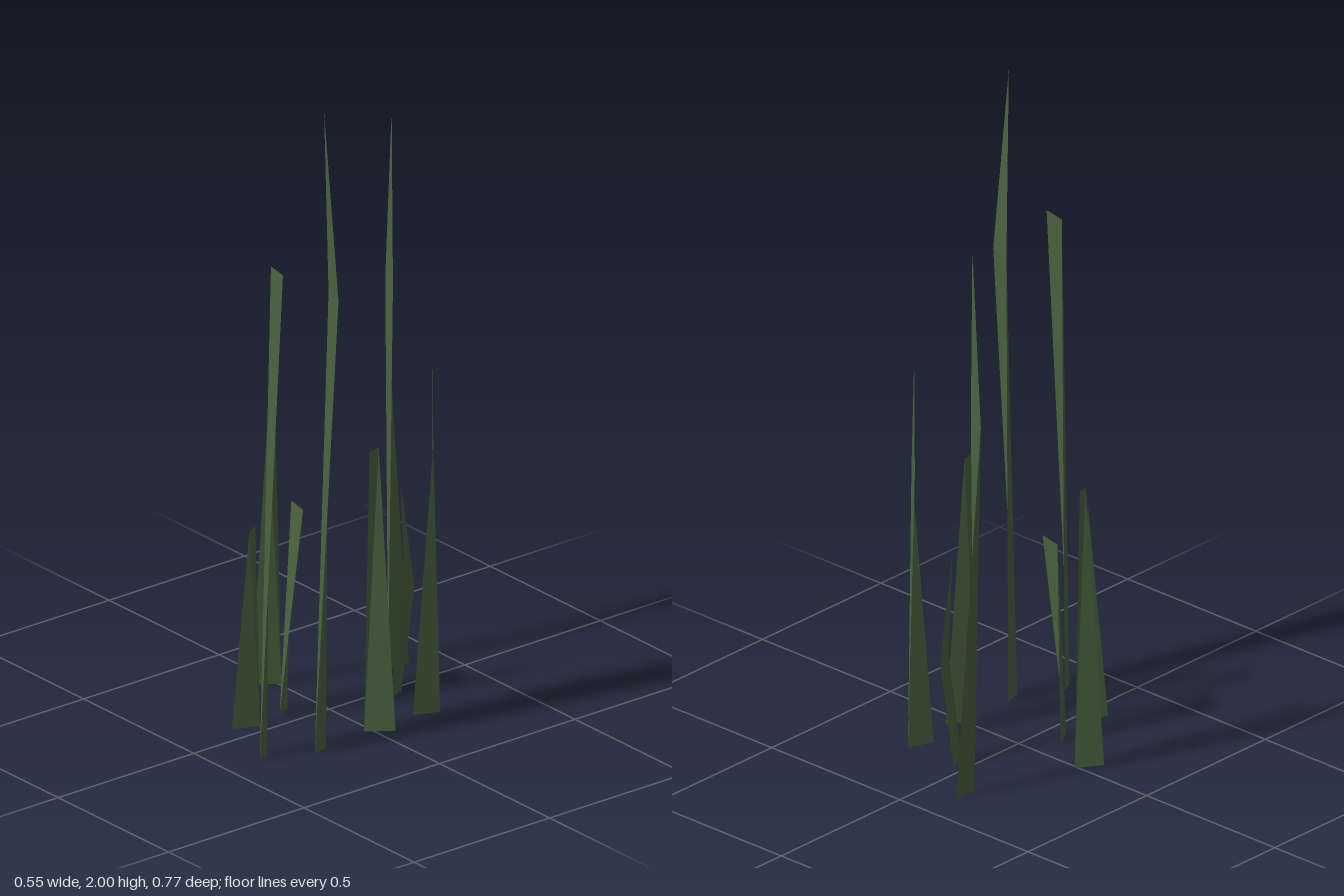
import * as THREE from 'three';

const grassGreen = new THREE.MeshStandardMaterial({ color: 0x4a6340, side: THREE.DoubleSide, flatShading: true });
grassGreen.name = 'grassGreen';

// One twisted blade: base edge b0-b1, upper edge m0-m1 at height y, optional tip [x, y, z]
function blade(name, { b0, b1, m0, m1, y, tip }) {
  const at = ([x, z], h) => [x, h, z];
  const B0 = at(b0, 0), B1 = at(b1, 0), M0 = at(m0, y), M1 = at(m1, y);
  const corners = [B0, B1, M0, B1, M1, M0];
  if (tip) corners.push(M0, M1, tip);
  const geometry = new THREE.BufferGeometry();
  geometry.setAttribute('position', new THREE.Float32BufferAttribute(corners.flat(), 3));
  geometry.computeVertexNormals();
  const mesh = new THREE.Mesh(geometry, grassGreen);
  mesh.name = name;
  return mesh;
}

// Blades that narrow to a point
const pointed = [
  { b0: [0.207, 0.18], b1: [0.223, 0.235], m0: [0.202, 0.167], m1: [0.273, 0.188], y: 1.42, tip: [0.226, 2, 0.203] },
  { b0: [-0.113, -0.385], b1: [-0.117, -0.312], m0: [-0.178, -0.351], m1: [-0.127, -0.338], y: 1.19, tip: [-0.133, 1.74, -0.338] },
  { b0: [0.184, -0.159], b1: [0.214, -0.235], m0: [0.253, -0.178], m1: [0.212, -0.208], y: 0.86, tip: [0.222, 1.22, -0.2] },
  { b0: [0.03, -0.241], b1: [0.05, -0.184], m0: [0.06, -0.265], m1: [0.072, -0.216], y: 0.33, tip: [0.055, 0.66, -0.22] },
];

// Blades with a flat cut top
const blunt = [
  { b0: [0.135, 0.34], b1: [0.155, 0.382], m0: [0.125, 0.317], m1: [0.198, 0.332], y: 1.515 },
  { b0: [0.239, -0.05], b1: [0.186, 0.023], m0: [0.17, -0.044], m1: [0.182, 0], y: 0.865 },
  { b0: [-0.275, 0.064], b1: [-0.227, -0.009], m0: [-0.206, 0.06], m1: [-0.217, 0.024], y: 0.865 },
  { b0: [-0.08, 0.09], b1: [-0.062, 0.133], m0: [-0.09, 0.067], m1: [-0.017, 0.083], y: 0.64 },
  { b0: [-0.066, 0.306], b1: [-0.03, 0.231], m0: [0.002, 0.296], m1: [-0.013, 0.262], y: 0.64 },
];

export function createModel() {
  const group = new THREE.Group();
  group.name = 'grassTuft';
  pointed.forEach((b, i) => group.add(blade(`pointedBlade${i + 1}`, b)));
  blunt.forEach((b, i) => group.add(blade(`bluntBlade${i + 1}`, b)));
  return group;
}
